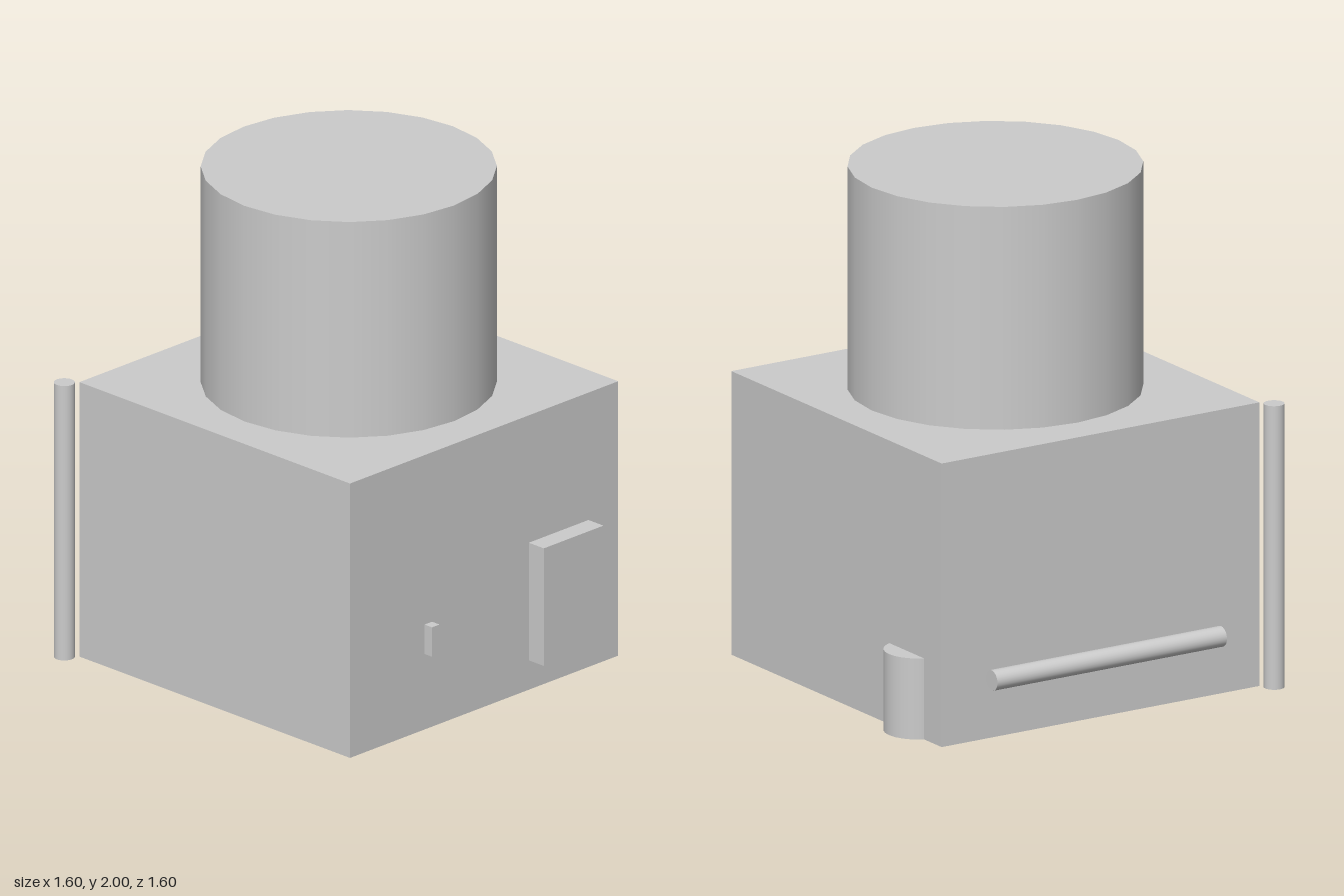
import * as THREE from 'three';

export function createModel() {
  const model = new THREE.Group();
  model.name = 'tankOnBase';
  const material = new THREE.MeshStandardMaterial({ color: 0xcccccc });

  function add(name, geometry, x, y, z) {
    const mesh = new THREE.Mesh(geometry, material);
    mesh.name = name;
    mesh.position.set(x, y, z);
    model.add(mesh);
    return mesh;
  }
  const box = (w, h, d) => new THREE.BoxGeometry(w, h, d);
  const cylinder = (r, h, sides = 24) => new THREE.CylinderGeometry(r, r, h, sides);

  // Square base with the round tank standing on it
  add('base', box(1.44, 1.12, 1.44), 0, 0.56, 0);
  add('tank', cylinder(0.56, 0.88), 0, 1.56, 0);

  // Front panel and the small block floating before the front wall
  add('frontPanel', box(0.32, 0.48, 0.08), 0.4, 0.36, 0.76);
  add('smallBlock', box(0.04, 0.12, 0.04), -0.32, 0.38, 0.76);

  // Canister half sunk into the left wall
  add('sideCanister', cylinder(0.128, 0.32), 0.672, 0.16, -0.48);

  // Pipes: upright at the back corner, level along the back wall
  add('cornerPipe', cylinder(0.04, 1.12), -0.76, 0.56, -0.76);
  add('backPipe', cylinder(0.04, 1.04), 0, 0.24, -0.76).rotation.z = Math.PI / 2;

  return model;
}
